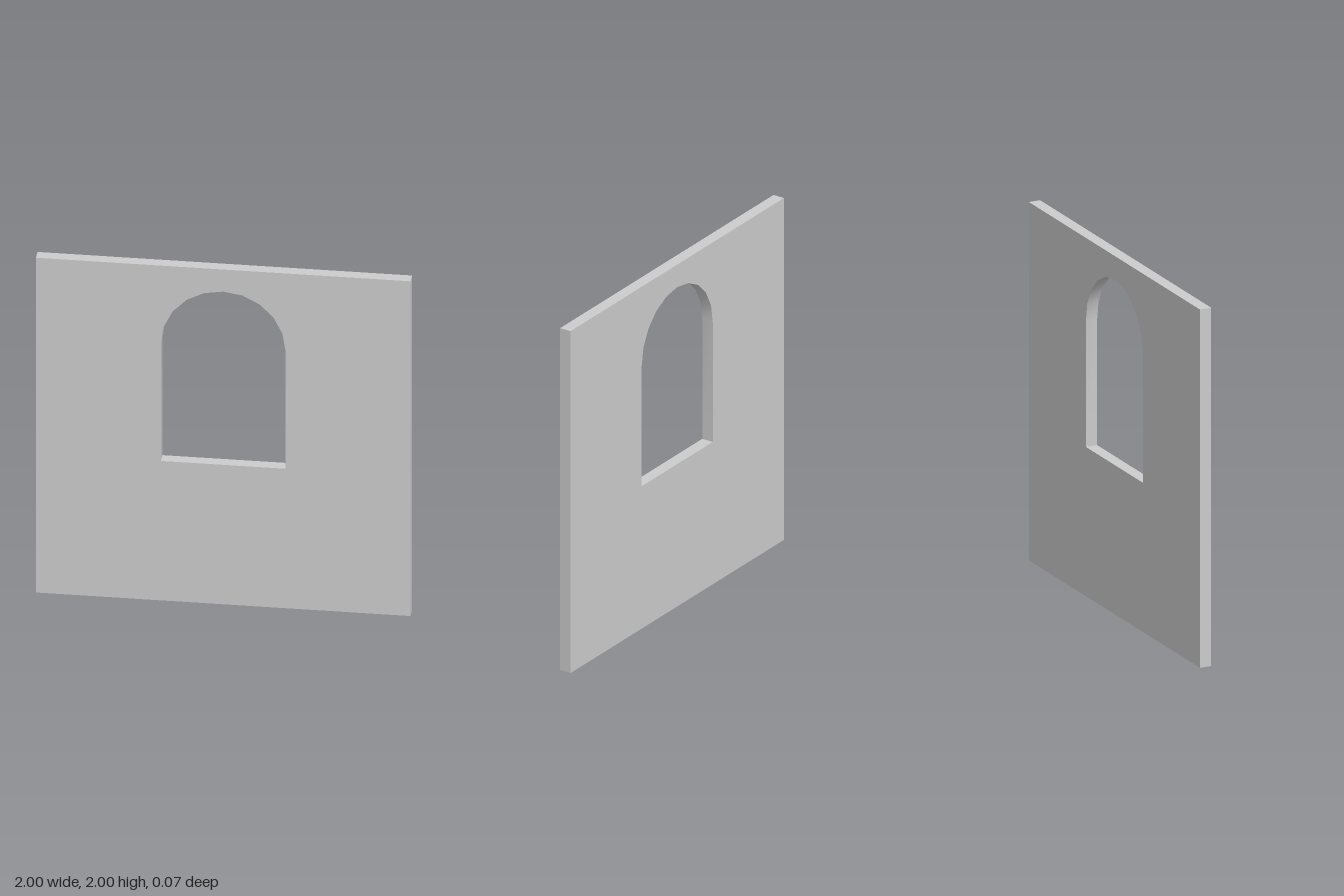
import * as THREE from 'three';
import { toCreasedNormals } from 'three/addons/utils/BufferGeometryUtils.js';

const SIZE = 2, DEPTH = 0.067;
const HALF_WIDTH = 0.333, SILL = 0.833, SPRING = 1.535;

export function createModel() {
  const group = new THREE.Group();
  group.name = 'windowWall';

  // Square wall panel
  const shape = new THREE.Shape();
  shape.moveTo(-SIZE / 2, 0);
  shape.lineTo(SIZE / 2, 0);
  shape.lineTo(SIZE / 2, SIZE);
  shape.lineTo(-SIZE / 2, SIZE);
  shape.closePath();

  // Round-headed window opening
  const opening = new THREE.Path();
  opening.moveTo(-HALF_WIDTH, SILL);
  opening.lineTo(HALF_WIDTH, SILL);
  opening.lineTo(HALF_WIDTH, SPRING);
  opening.absarc(0, SPRING, HALF_WIDTH, 0, Math.PI, false);
  opening.closePath();
  shape.holes.push(opening);

  // The arch is drawn with ten segments, smooth along the curve and sharp at the wall faces
  const geometry = new THREE.ExtrudeGeometry(shape, { depth: DEPTH, bevelEnabled: false, curveSegments: 5 });
  geometry.translate(0, 0, -DEPTH / 2);

  const wall = new THREE.Mesh(
    toCreasedNormals(geometry, Math.PI / 6),
    new THREE.MeshStandardMaterial({ color: 0xcccccc })
  );
  wall.name = 'wall';
  group.add(wall);
  return group;
}
